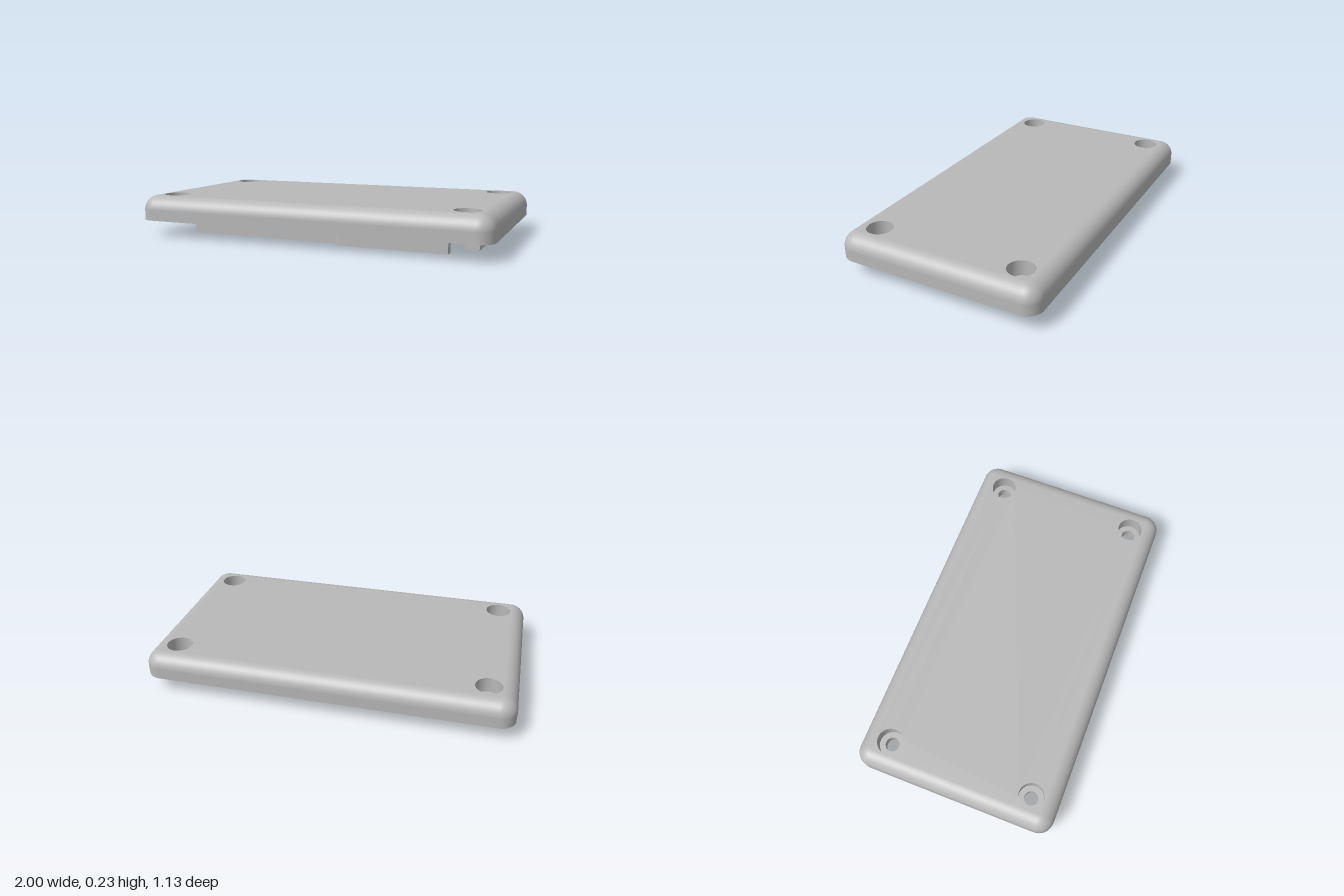
import * as THREE from 'three';
import { toCreasedNormals } from 'three/addons/utils/BufferGeometryUtils.js';

const HALF_X = 1, HALF_Z = 0.563, CORNER = 0.085, FILLET = 0.08;
const BASE = 0.09, TOP = 0.228, SEAT = 0.145;
const SCREWS = [[-0.845, -0.407], [0.845, -0.407], [-0.845, 0.407], [0.845, 0.407]];

// Points and outward directions round a rounded rectangle
function outline(inset) {
  const r = CORNER - inset, n = 10, pts = [];
  [[1, 1], [-1, 1], [-1, -1], [1, -1]].forEach(([sx, sz], q) => {
    for (let i = 0; i <= n; i++) {
      const a = (q + i / n) * Math.PI / 2, c = Math.cos(a), s = Math.sin(a);
      pts.push({ x: sx * (HALF_X - CORNER) + r * c, z: sz * (HALF_Z - CORNER) + r * s, c, s });
    }
  });
  return pts;
}

// Upright sides that roll over into the top face
function lidSides() {
  const rows = [{ y: BASE, a: 0 }];
  for (let i = 0; i <= 12; i++) {
    const a = i / 12 * Math.PI / 2;
    rows.push({ y: TOP - FILLET + FILLET * Math.sin(a), a });
  }
  const pos = [], nor = [], idx = [];
  const m = outline(0).length;
  rows.forEach(({ y, a }, j) => {
    outline(FILLET * (1 - Math.cos(a))).forEach((p, i) => {
      pos.push(p.x, y, p.z);
      nor.push(p.c * Math.cos(a), Math.sin(a), p.s * Math.cos(a));
      if (j === rows.length - 1) return;
      const k = j * m + i, next = j * m + (i + 1) % m;
      idx.push(k, k + m, next, next, k + m, next + m);
    });
  });
  const g = new THREE.BufferGeometry();
  g.setAttribute('position', new THREE.Float32BufferAttribute(pos, 3));
  g.setAttribute('normal', new THREE.Float32BufferAttribute(nor, 3));
  g.setIndex(idx);
  return g;
}

// Flat face of the lid with four round holes
function lidFace(inset, holeRadius, y, up) {
  const shape = new THREE.Shape(outline(inset).map(p => new THREE.Vector2(p.x, p.z)));
  SCREWS.forEach(([x, z]) => shape.holes.push(new THREE.Path().absarc(x, z, holeRadius, 0, Math.PI * 2, true)));
  return new THREE.ShapeGeometry(shape, 24).rotateX(up ? -Math.PI / 2 : Math.PI / 2).translate(0, y, 0);
}

// Plan shape in x and z, raised from y0 to y1
function slab(shape, y0, y1) {
  const g = new THREE.ExtrudeGeometry(shape, { depth: y1 - y0, bevelEnabled: false, curveSegments: 16 });
  return toCreasedNormals(g.rotateX(Math.PI / 2).translate(0, y1, 0), 0.6);
}

export function createModel() {
  const group = new THREE.Group();
  const grey = new THREE.MeshStandardMaterial({ color: 0xb8b8b8 });
  grey.name = 'grey plastic';
  const inside = new THREE.MeshStandardMaterial({ color: 0xb8b8b8, side: THREE.BackSide });
  inside.name = 'grey plastic inside';

  const add = (name, geometry, material = grey) => {
    const mesh = new THREE.Mesh(geometry, material);
    mesh.name = name;
    group.add(mesh);
    return mesh;
  };

  // Lid
  add('lidSides', lidSides());
  add('lidTop', lidFace(FILLET, 0.07, TOP, true));
  add('lidUnderside', lidFace(0, 0.038, BASE, false));

  // Counterbored screw holes
  const bore = (r, y0, y1) => new THREE.CylinderGeometry(r, r, y1 - y0, 32, 1, true).translate(0, (y0 + y1) / 2, 0);
  SCREWS.forEach(([x, z]) => {
    add('counterbore', bore(0.07, SEAT, TOP), inside).position.set(x, 0, z);
    add('screwHole', bore(0.038, BASE, SEAT), inside).position.set(x, 0, z);
    add('screwSeat', new THREE.RingGeometry(0.038, 0.07, 32).rotateX(-Math.PI / 2)).position.set(x, SEAT, z);
  });

  // Board tray: back, cross and front walls with a curved step and two notches
  const H = Math.PI / 2;
  const tray = new THREE.Shape();
  tray.moveTo(0.75, 0.4);
  tray.lineTo(0.17, 0.4);
  tray.absarc(0.17, 0.35, 0.05, H, Math.PI, false);
  tray.lineTo(0.12, 0.345);
  tray.lineTo(-0.77, 0.345);
  tray.lineTo(-0.77, 0.29);
  tray.lineTo(0.075, 0.29);
  tray.lineTo(0.075, -0.29);
  tray.lineTo(-0.77, -0.29);
  tray.lineTo(-0.77, -0.345);
  tray.lineTo(0.14, -0.345);
  tray.absarc(0.14, -0.03, 0.0225, -H, H, true);
  tray.absarc(0.14, 0.2925, 0.0225, -H, H, true);
  tray.absarc(0.18, 0.315, 0.04, Math.PI, H, true);
  tray.lineTo(0.75, 0.355);
  tray.closePath();
  add('trayWalls', slab(tray, 0, BASE));

  // End bar with two notches on its inner side
  const bar = new THREE.Shape();
  bar.moveTo(0.875, -0.302);
  bar.lineTo(0.875, 0.247);
  bar.lineTo(0.8, 0.247);
  bar.absarc(0.81, 0.15, 0.024, H, -H, false);
  bar.absarc(0.81, -0.235, 0.024, H, -H, false);
  bar.lineTo(0.8, -0.302);
  bar.closePath();
  add('endBar', slab(bar, 0, BASE));

  // Raised pad
  add('raisedPad', new THREE.BoxGeometry(0.385, 0.035, 0.325)).position.set(-0.667, BASE - 0.0175, 0.01);

  // Hollow bosses
  [-0.25, 0.25].forEach(z => {
    const boss = new THREE.Shape().absarc(-0.85, z, 0.055, 0, Math.PI * 2, false);
    boss.holes.push(new THREE.Path().absarc(-0.85, z, 0.024, 0, Math.PI * 2, true));
    add('boss', slab(boss, 0.055, BASE));
  });

  return group;
}
